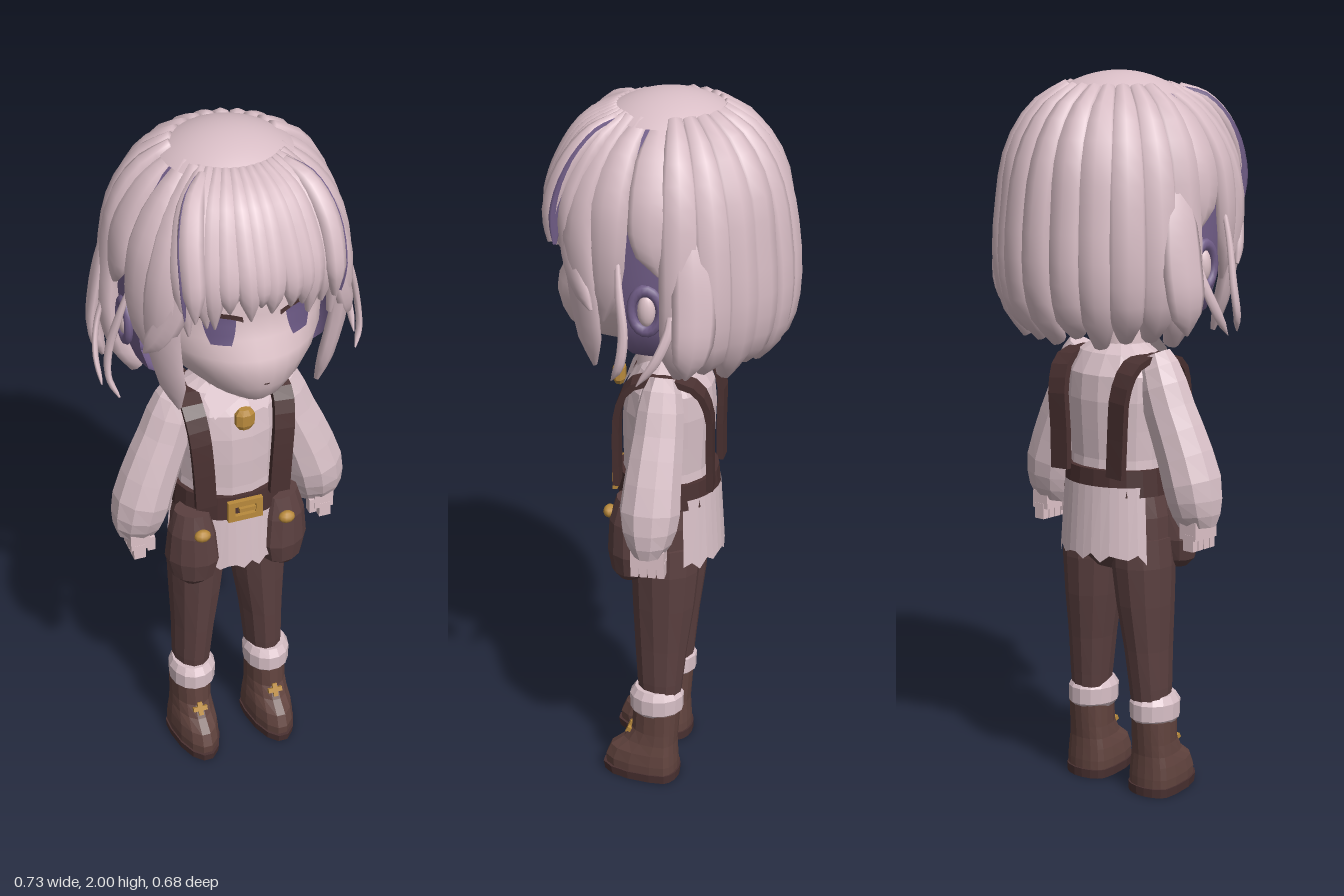
import * as THREE from 'three';

const V = (x, y, z) => new THREE.Vector3(x, y, z);
const mat = (name, color, side = THREE.FrontSide) =>
  Object.assign(new THREE.MeshStandardMaterial({ color, side }), { name });

// Skin a stack of closed rings, with a fan at each end
function skin(rings, flat) {
  const n = rings[0].length, pos = [], idx = [];
  for (const ring of rings) for (const p of ring) pos.push(p.x, p.y, p.z);
  for (let i = 0; i < rings.length - 1; i++) for (let j = 0; j < n; j++) {
    const a = i * n + j, b = i * n + (j + 1) % n;
    idx.push(a, b, a + n, b, b + n, a + n);
  }
  for (const end of [0, rings.length - 1]) {
    const c = rings[end].reduce((s, p) => s.add(p), V(0, 0, 0)).divideScalar(n);
    const k = pos.length / 3;
    pos.push(c.x, c.y, c.z);
    for (let j = 0; j < n; j++) {
      const a = end * n + j, b = end * n + (j + 1) % n;
      end ? idx.push(k, a, b) : idx.push(k, b, a);
    }
  }
  let g = new THREE.BufferGeometry();
  g.setAttribute('position', new THREE.Float32BufferAttribute(pos, 3));
  g.setIndex(idx);
  if (flat) g = g.toNonIndexed();
  g.computeVertexNormals();
  return g;
}

// Rows of [y, centre x, half width, front depth, back depth]
function loft(rows, n = 10, flat = true) {
  return skin(rows.map(([y, cx, w, zf, zb]) => Array.from({ length: n }, (_, j) => {
    const a = (j + 0.5) / n * Math.PI * 2, c = Math.cos(a);
    return V(cx + w * Math.sin(a), y, c * (c > 0 ? zf : zb));
  })), flat);
}

// Oval section swept along a curve; it faces away from the given centre
function sweep(pts, w, h, scales, { centre = V(0, 1.62, 0), n = 8, seg = 14, flat = false, phase = 0 } = {}) {
  const curve = new THREE.CatmullRomCurve3(pts), rings = [];
  for (let i = 0; i <= seg; i++) {
    const t = i / seg, p = curve.getPoint(t), T = curve.getTangent(t);
    const N = p.clone().sub(centre);
    N.addScaledVector(T, -N.dot(T)).normalize();
    const B = N.clone().cross(T);
    const f = t * (scales.length - 1), k = Math.min(Math.floor(f), scales.length - 2);
    const s = THREE.MathUtils.lerp(scales[k], scales[k + 1], f - k);
    rings.push(Array.from({ length: n }, (_, j) => {
      const a = phase + j / n * Math.PI * 2;
      return p.clone().addScaledVector(B, w * s * Math.cos(a)).addScaledVector(N, h * Math.sqrt(s) * Math.sin(a));
    }));
  }
  return skin(rings, flat);
}

const FACE = [
  [1.32, 0, 0.04, 0.2, 0.01], [1.335, 0, 0.095, 0.25, 0.015], [1.36, 0, 0.14, 0.277, 0.02],
  [1.4, 0, 0.183, 0.295, 0.06], [1.45, 0, 0.218, 0.306, 0.15], [1.49, 0, 0.235, 0.3, 0.22],
  [1.54, 0, 0.245, 0.275, 0.25], [1.6, 0, 0.25, 0.258, 0.265], [1.7, 0, 0.25, 0.262, 0.265],
  [1.8, 0, 0.22, 0.225, 0.225], [1.88, 0, 0.14, 0.15, 0.15]];
function faceZ(x, y) {
  let i = 0;
  while (i < FACE.length - 2 && FACE[i + 1][0] < y) i++;
  const t = (y - FACE[i][0]) / (FACE[i + 1][0] - FACE[i][0]);
  const [, , w, zf] = FACE[i].map((v, k) => THREE.MathUtils.lerp(v, FACE[i + 1][k], t));
  return zf * Math.sqrt(Math.max(0, 1 - (x / w) ** 2));
}
// Thin plate hugging the face, narrowed below and arched by choice
function facePatch(cx, cy, w, h, taper, arch, off) {
  const g = new THREE.PlaneGeometry(w, h, 8, 6), p = g.attributes.position;
  for (let i = 0; i < p.count; i++) {
    const v = 0.5 - p.getY(i) / h, u = p.getX(i) / w * 2;
    const x = cx + p.getX(i) * (1 - taper * v * v), y = cy + p.getY(i) - arch * u * u;
    p.setXYZ(i, x, y, faceZ(x, y) + off);
  }
  g.computeVertexNormals();
  return g;
}

export function createModel() {
  const model = new THREE.Group();
  const hair = mat('hair pink', 0xd9bec6), skinM = mat('skin', 0xdec3c9), shirt = mat('shirt', 0xd9c1c8, THREE.DoubleSide);
  const inner = mat('inner hair purple', 0x735f8a, THREE.DoubleSide), iris = mat('iris purple', 0x67557f);
  const trousers = mat('trouser brown', 0x5b4040), leather = mat('dark leather', 0x4a3131);
  const boots = mat('boot brown', 0x62443f), gold = mat('gold', 0xb98a3c);
  const add = (name, g, m, x = 0, y = 0, z = 0, ry = 0) => {
    const o = new THREE.Mesh(g, m);
    o.name = name; o.position.set(x, y, z); o.rotation.y = ry;
    model.add(o);
    return o;
  };
  const box = (w, h, d) => new THREE.BoxGeometry(w, h, d);

  // Head, neck and face
  add('face', loft(FACE, 36, false), skinM);
  add('neck', new THREE.CylinderGeometry(0.068, 0.075, 0.16, 14), skinM, 0, 1.31, 0.02);
  add('mouth', facePatch(0, 1.418, 0.014, 0.004, 0, 0, 0.003), leather);
  for (const s of [-1, 1]) {
    add('iris', facePatch(s * 0.106, 1.568, 0.078, 0.074, 0.4, 0, 0.004), iris);
    add('eyelash', facePatch(s * 0.11, 1.611, 0.12, 0.014, 0, 0.012, 0.007), leather);
    const ear = add('ear', new THREE.SphereGeometry(1, 14, 10), skinM, s * 0.282, 1.5, 0.015);
    ear.scale.set(0.02, 0.045, 0.024);
    const rim = add('earRim', new THREE.TorusGeometry(0.038, 0.012, 8, 18), inner, s * 0.286, 1.5, 0.017, Math.PI / 2);
    rim.scale.set(1, 1.45, 1);
  }

  // Crown and purple lining of the hair
  const crown = add('crown', new THREE.SphereGeometry(0.29, 32, 8, 0, Math.PI * 2, 0, 0.2 * Math.PI), hair, 0, 1.705);
  crown.scale.y = 1.015;
  const arc = Array.from({ length: 8 }, (_, i) => {
    const a = Math.PI * (0.5 - i / 7 * 0.32);
    return new THREE.Vector2(0.284 * Math.sin(a), 1.7 + 0.29 * Math.cos(a));
  });
  add('upper lining', new THREE.LatheGeometry(arc, 36), inner);
  const low = [[0.06, 1.37], [0.14, 1.352], [0.215, 1.345], [0.255, 1.375], [0.28, 1.45], [0.288, 1.57], [0.284, 1.7]];
  add('lower lining', new THREE.LatheGeometry(low.map(p => new THREE.Vector2(...p)), 28, 0.4 * Math.PI, 1.2 * Math.PI), inner);

  // Hair locks that fall from the crown; profile holds [radius, y]
  const polar = (deg, r, y) => V(r * Math.sin(deg * Math.PI / 180), y, r * Math.cos(deg * Math.PI / 180));
  const full = [0.4, 0.65, 0.9, 1, 1, 0.95, 0.75, 0.08], blunt = [0.4, 0.65, 0.9, 1, 1, 1, 0.9, 0.4];
  for (let i = 0; i < 11; i++) {
    const a = 104 + i * 15.2, d = 0.015 * Math.sin(i * 2.4), r = 0.006 * Math.sin(i * 1.7);
    const pts = [[0.135, 1.955], [0.215, 1.897], [0.275, 1.79], [0.3 + r, 1.66], [0.31 + r, 1.5], [0.29 + r, 1.385], [0.24, 1.31 + d]];
    add('backLock', sweep(pts.map(p => polar(a, ...p)), 0.054, 0.034, blunt), hair);
  }
  for (let i = 0; i < 12; i++) {
    const k = (i - 5.5) / 5.5, a = 38 * k, end = 1.645 - 0.075 * k * k + 0.018 * Math.sin(i * 2.7);
    const pts = [[0.135, 1.955], [0.22, 1.905], [0.28, 1.815], [0.312, 1.72], [0.302, end]];
    add('fringeLock', sweep(pts.map((p, j) => polar(a * (1.2 - 0.05 * j) + 2 * Math.sin(i * 1.9) * j / 4, ...p)), 0.036, 0.024,
      [0.4, 0.75, 1, 1, 1, 0.8, 0.1]), hair);
  }
  for (const s of [-1, 1]) {
    const side = (name, pts, w, h, m = hair) =>
      add(name, sweep(pts.map(([x, y, z]) => V(s * x, y, z)), w, h, full), m);
    side('sideLock', [[0.125, 1.952, 0], [0.208, 1.885, 0], [0.27, 1.785, 0], [0.29, 1.7, 0], [0.295, 1.6, -0.02]], 0.064, 0.026);
    side('templeLock', [[0.12, 1.952, 0.05], [0.192, 1.885, 0.09], [0.25, 1.78, 0.115], [0.27, 1.68, 0.12], [0.268, 1.57, 0.125], [0.245, 1.45, 0.135]], 0.062, 0.025);
    side('cheekLock', [[0.11, 1.955, 0.085], [0.17, 1.885, 0.14], [0.215, 1.785, 0.185], [0.24, 1.67, 0.2], [0.24, 1.54, 0.19], [0.215, 1.4, 0.18], [0.19, 1.3, 0.17]], 0.056, 0.024);
    side('browLock', [[0.17, 1.86, 0.19], [0.2, 1.75, 0.225], [0.22, 1.65, 0.225], [0.25, 1.56, 0.2], [0.28, 1.49, 0.16]], 0.04, 0.018);
    side('flaredLock', [[0.27, 1.75, -0.09], [0.3, 1.64, -0.105], [0.32, 1.52, -0.115], [0.33, 1.42, -0.11], [0.315, 1.33, -0.09]], 0.058, 0.022);
    side('wisp', [[0.285, 1.66, 0.09], [0.318, 1.56, 0.08], [0.345, 1.45, 0.065], [0.35, 1.37, 0.075], [0.33, 1.32, 0.1]], 0.014, 0.009);
    side('wisp', [[0.3, 1.58, -0.05], [0.335, 1.48, -0.055], [0.356, 1.39, -0.02], [0.356, 1.32, 0.03]], 0.014, 0.008);
    side('innerLock', [[0.25, 1.48, -0.1], [0.24, 1.4, -0.08], [0.2, 1.33, -0.06]], 0.04, 0.015, inner);
    // Raised edge of the fringe, purple on the face turned to the side
    const edge = [[41, 0.16, 1.95], [40, 0.235, 1.915], [37, 0.3, 1.835], [34, 0.335, 1.73], [33, 0.338, 1.635]];
    const along = turn => edge.map(([a, r, y]) => polar(s * (a + turn), r, y));
    add('fringeEdge', sweep(along(0), 0.034, 0.026, [0.4, 0.8, 1, 1, 0.9, 0.1]), hair);
    add('fringeEdgeSide', sweep(along(4.6), 0.006, 0.022, [0.1, 0.8, 1, 1, 0.7, 0.05]), inner);
  }

  // Shirt: body, collar, tails and sleeves
  add('shirtBody', loft([[0.86, 0, 0.15, 0.135, 0.125], [0.96, 0, 0.142, 0.13, 0.115], [1.04, 0, 0.146, 0.132, 0.12],
    [1.12, 0, 0.152, 0.13, 0.124], [1.19, 0, 0.15, 0.118, 0.118], [1.245, 0, 0.125, 0.085, 0.085], [1.27, 0, 0.08, 0.07, 0.05]], 16), shirt);
  for (const s of [-1, 1]) {
    const flap = new THREE.Shape([[0, 1.24], [s * 0.075, 1.195], [s * 0.095, 1.25], [s * 0.07, 1.285]].map(p => new THREE.Vector2(...p)));
    const g = new THREE.ShapeGeometry(flap), p = g.attributes.position;
    for (let i = 0; i < p.count; i++) p.setZ(i, 0.128 - (p.getY(i) - 1.195) * 0.5 - Math.abs(p.getX(i)) * 0.12);
    g.computeVertexNormals();
    add('collarFlap', g, shirt);
  }
  const tail = (name, mid, len) => {
    let g = new THREE.CylinderGeometry(1, 1.08, 0.2, 14, 1, true, mid - len / 2, len);
    const p = g.attributes.position;
    for (let i = 0; i < p.count; i++) if (p.getY(i) < 0) p.setY(i, -0.115 + 0.03 * Math.abs(Math.sin(i * 1.3)));
    g = g.toNonIndexed().scale(0.158, 1, 0.138);
    g.computeVertexNormals();
    add(name, g, shirt, 0, 0.79, 0);
  };
  tail('frontShirtTail', 0, 1.9);
  tail('backShirtTail', Math.PI, 2.3);

  for (const s of [-1, 1]) {
    const P = a => a.map(([x, y, z]) => V(s * x, y, z));
    add('sleeve', sweep(P([[0.122, 1.243, 0], [0.145, 1.19, 0.002], [0.178, 1.1, 0.005], [0.216, 1.01, 0.01], [0.25, 0.91, 0.015], [0.262, 0.84, 0.015], [0.268, 0.79, 0.015]]),
      0.083, 0.083, [0.45, 0.75, 0.83, 0.92, 1, 0.87, 0.48], { centre: V(0, 0.9, 0), n: 10, seg: 9, flat: true }), shirt);
    // Hand with a thumb and four fingers
    add('palm', box(0.055, 0.05, 0.09), skinM, s * 0.272, 0.785, 0.015);
    for (let f = 0; f < 4; f++) add('finger', box(0.034, 0.045, 0.02), skinM, s * 0.275, 0.752, -0.021 + f * 0.024);
    add('thumb', box(0.022, 0.045, 0.026), skinM, s * 0.24, 0.77, 0.045);

    // Strap over the shoulder
    add('strap', sweep(P([[0.106, 0.92, 0.13], [0.112, 1.04, 0.13], [0.12, 1.15, 0.122], [0.126, 1.22, 0.088], [0.12, 1.24, 0],
      [0.12, 1.22, -0.088], [0.112, 1.15, -0.122], [0.104, 1.04, -0.124], [0.1, 0.92, -0.126]]),
      0.041, 0.013, [1, 1], { centre: V(s * 0.11, 1.06, 0), n: 4, seg: 18, flat: true, phase: Math.PI / 4 }), leather);

    // Hip pouch and its gold button
    add('pouch', loft([[0.645, 0, 0.03, 0.03, 0.03], [0.67, 0, 0.062, 0.05, 0.05], [0.73, 0, 0.078, 0.06, 0.07],
      [0.82, 0, 0.068, 0.055, 0.07], [0.885, 0, 0.05, 0.034, 0.06]], 12), trousers, s * 0.133, 0, 0.092, s * 0.55);
    const button = add('pouchButton', new THREE.SphereGeometry(0.024, 10, 6), gold, s * 0.123, 0.835, 0.15);
    button.scale.set(1, 0.75, 0.75);

    // Leg, cuff and boot
    add('leg', loft([[0.24, s * 0.112, 0.05, 0.07, 0.045], [0.31, s * 0.11, 0.056, 0.078, 0.052], [0.42, s * 0.104, 0.062, 0.085, 0.065],
      [0.55, s * 0.096, 0.075, 0.092, 0.084], [0.66, s * 0.091, 0.083, 0.096, 0.095], [0.74, s * 0.088, 0.08, 0.096, 0.095]], 12), trousers);
    add('bootCuff', loft([[0.205, 0, 0.055, 0.06, 0.06], [0.22, 0, 0.066, 0.076, 0.076], [0.265, 0, 0.067, 0.077, 0.077],
      [0.287, 0, 0.056, 0.062, 0.062]], 14), shirt, s * 0.115, 0, 0.022);
    add('boot', loft([[0.022, 0, 0.068, 0.17, 0.04], [0.05, 0, 0.069, 0.172, 0.04], [0.085, 0, 0.066, 0.157, 0.038], [0.115, 0, 0.061, 0.118, 0.037],
      [0.15, 0, 0.059, 0.094, 0.04], [0.215, 0, 0.059, 0.09, 0.045]], 16), boots, s * 0.117);
    add('bootSole', loft([[0, 0, 0.07, 0.175, 0.044], [0.025, 0, 0.072, 0.18, 0.045]], 16), leather, s * 0.117);
    for (const [w, h] of [[0.042, 0.013], [0.014, 0.04]]) {
      const charm = add('bootCharm', box(w, h, 0.012), gold, s * 0.117, 0.142, 0.1);
      charm.rotation.x = -0.45;
    }
  }

  // Hips, belt, buckle and pendant
  add('hips', loft([[0.645, 0, 0.09, 0.06, 0.06], [0.69, 0, 0.165, 0.1, 0.1], [0.8, 0, 0.162, 0.115, 0.11], [0.88, 0, 0.145, 0.115, 0.11]], 16), trousers);
  add('belt', loft([[0.862, 0, 0.162, 0.148, 0.138], [0.935, 0, 0.156, 0.143, 0.132]], 20), leather);
  const frame = new THREE.Shape([[-0.05, -0.032], [0.05, -0.032], [0.05, 0.032], [-0.05, 0.032]].map(p => new THREE.Vector2(...p)));
  frame.holes.push(new THREE.Path([[-0.03, -0.015], [-0.03, 0.015], [0.03, 0.015], [0.03, -0.015]].map(p => new THREE.Vector2(...p))));
  add('buckle', new THREE.ExtrudeGeometry(frame, { depth: 0.014, bevelEnabled: false }), gold, 0, 0.897, 0.143);
  add('bucklePin', box(0.05, 0.012, 0.012), gold, 0.008, 0.897, 0.15);
  add('pendant', loft([[1.168, 0, 0.018, 0.012, 0.012], [1.182, 0, 0.028, 0.018, 0.018], [1.215, 0, 0.028, 0.018, 0.018],
    [1.23, 0, 0.018, 0.01, 0.01]], 8), gold, 0, 0, 0.143);

  model.position.x = 0.012;
  const root = new THREE.Group();
  root.name = 'figure';
  root.add(model);
  return root;
}
